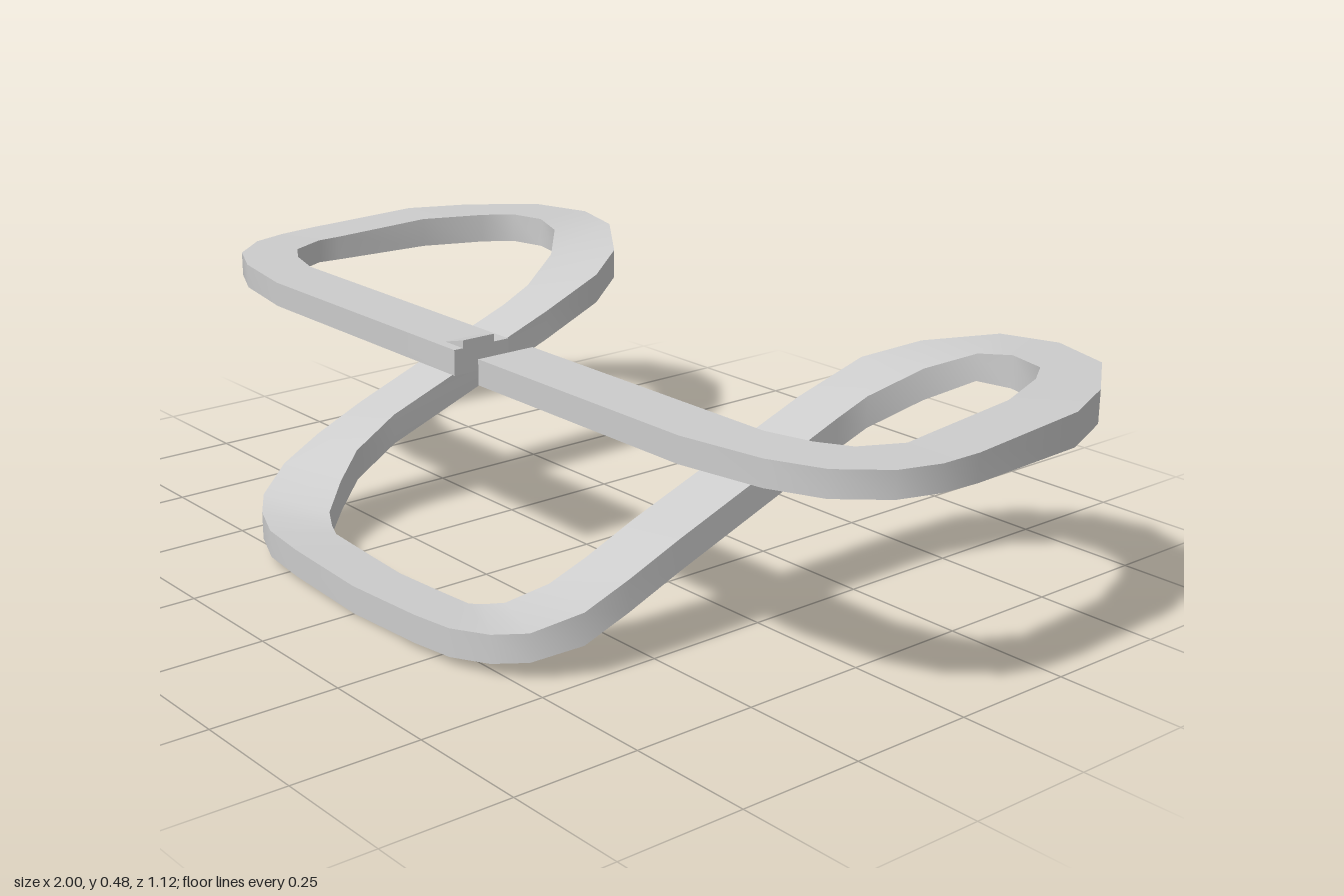
import * as THREE from 'three';

// Stations along half of the bar: [ax, az, aTop, bx, bz, bTop], a and b being the two plan edges.
const loop = [
  [0.075, 0.315, 0.465, 0.075, 0.19, 0.465],
  [0.63, 0.315, 0.465, 0.63, 0.19, 0.465],
  [0.8, 0.285, 0.465, 0.7, 0.19, 0.465],
  [0.9, 0.24, 0.465, 0.79, 0.165, 0.465],
  [0.97, 0.16, 0.465, 0.85, 0.13, 0.465],
  [0.995, 0.08, 0.465, 0.89, 0.05, 0.465],
  [1.0, 0, 0.467, 0.885, 0, 0.467],
  [0.985, -0.26, 0.478, 0.87, -0.22, 0.478],
  [0.93, -0.39, 0.478, 0.82, -0.35, 0.478],
  [0.83, -0.52, 0.478, 0.78, -0.41, 0.478],
  [0.7, -0.56, 0.478, 0.7, -0.43, 0.478],
  [0.58, -0.535, 0.473, 0.63, -0.415, 0.468],
  [0.46, -0.45, 0.448, 0.56, -0.35, 0.435],
  [0.4, -0.35, 0.42, 0.515, -0.25, 0.39],
];
const leg = [
  [0.385, -0.2, 0.367, 0.508, -0.18, 0.36],
  [0.382, 0.2, 0.217, 0.505, 0.2, 0.215],
  [0.37, 0.3, 0.165, 0.502, 0.31, 0.168],
  [0.34, 0.36, 0.12, 0.49, 0.4, 0.126],
  [0.29, 0.42, 0.083, 0.44, 0.48, 0.092],
  [0.25, 0.44, 0.072, 0.38, 0.52, 0.08],
  [0.22, 0.45, 0.066, 0.3, 0.55, 0.073],
  [0.12, 0.45, 0.06, 0.2, 0.555, 0.066],
  [0, 0.45, 0.054, 0, 0.555, 0.056],
];

// Rectangular section at one station, side = 1 for +x and -1 for the mirrored half
function section([ax, az, at, bx, bz, bt], side) {
  const thick = (y) => (y > 0.46 ? y - 0.415 : y < 0.1 ? 0.055 : 0.062);
  return [
    [side * ax, at, az],
    [side * ax, Math.max(0, at - thick(at)), az],
    [side * bx, Math.max(0, bt - thick(bt)), bz],
    [side * bx, bt, bz],
  ];
}

// Lofts the sections; each of the four sides is smooth along its length with sharp edges
function loft(rings) {
  const pos = [], index = [];
  for (let k = 0; k < 4; k++) {
    const base = pos.length / 3;
    rings.forEach((r, i) => {
      pos.push(...r[k], ...r[(k + 1) % 4]);
      if (i === 0) return;
      const q = base + i * 2, p = q - 2;
      index.push(p, p + 1, q + 1, p, q + 1, q);
    });
  }
  // end caps
  [[...rings[0]].reverse(), rings[rings.length - 1]].forEach((ring) => {
    const c = pos.length / 3;
    ring.forEach((v) => pos.push(...v));
    index.push(c, c + 1, c + 2, c, c + 2, c + 3);
  });
  const g = new THREE.BufferGeometry();
  g.setAttribute('position', new THREE.Float32BufferAttribute(pos, 3));
  g.setIndex(index);
  g.computeVertexNormals();
  return g;
}

export function createModel() {
  const group = new THREE.Group();
  const material = new THREE.MeshStandardMaterial({ color: 0xcccccc });

  // One continuous bar: right half, then its mirror image back to the other tip
  const half = [...loop, ...leg];
  const rings = half.map((s) => section(s, 1));
  rings.push(...half.slice(0, -1).reverse().map((s) => section(s, -1)));
  // the tip on the -x side reaches the centre line
  rings[rings.length - 1].forEach((v) => { v[0] = 0; });
  const bar = new THREE.Mesh(loft(rings), material);
  bar.name = 'bentBar';
  group.add(bar);

  // Small wedge-shaped catch on the tip
  const wedge = new THREE.Shape([
    new THREE.Vector2(-0.06, 0.46),
    new THREE.Vector2(0, 0.46),
    new THREE.Vector2(0, 0.48),
    new THREE.Vector2(-0.06, 0.464),
  ]);
  const catchMesh = new THREE.Mesh(
    new THREE.ExtrudeGeometry(wedge, { depth: 0.072, bevelEnabled: false }), material);
  catchMesh.position.z = 0.223;
  catchMesh.name = 'tipCatch';
  group.add(catchMesh);

  return group;
}
